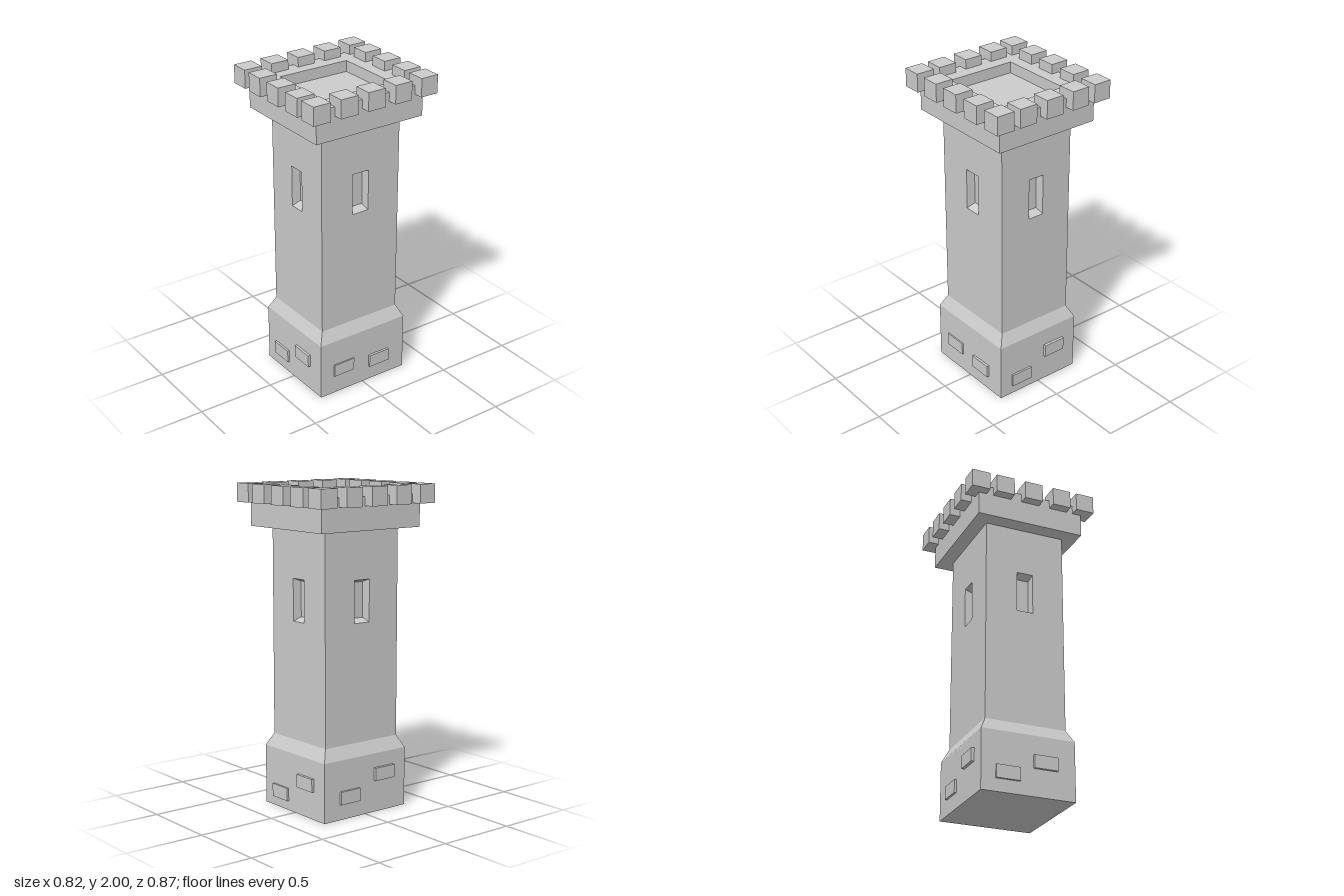
import * as THREE from 'three';

const material = new THREE.MeshStandardMaterial({ color: 0xcccccc, flatShading: true });

function addMesh(parent, name, geometry, x = 0, y = 0, z = 0) {
  const mesh = new THREE.Mesh(geometry, material);
  mesh.name = name;
  mesh.position.set(x, y, z);
  parent.add(mesh);
  return mesh;
}

// Skin a series of four-cornered rings and close the last one.
function loft(rings) {
  const points = [];
  const quad = (a, b, c, d) => points.push(...a, ...b, ...c, ...a, ...c, ...d);
  for (let r = 0; r < rings.length - 1; r++) {
    for (let i = 0; i < 4; i++) {
      const j = (i + 1) % 4;
      quad(rings[r][i], rings[r][j], rings[r + 1][j], rings[r + 1][i]);
    }
  }
  quad(...rings[rings.length - 1]);
  const geometry = new THREE.BufferGeometry();
  geometry.setAttribute('position', new THREE.Float32BufferAttribute(points, 3));
  geometry.computeVertexNormals();
  return geometry;
}

const floorRing = (x, z, y) => [[-x, y, z], [x, y, z], [x, y, -z], [-x, y, -z]];
const wallRing = (x, y0, y1, z) => [[-x, y0, z], [x, y0, z], [x, y1, z], [-x, y1, z]];

function rectangle(Type, x, y0, y1) {
  const path = new Type();
  path.moveTo(-x, y0).lineTo(x, y0).lineTo(x, y1).lineTo(-x, y1).closePath();
  return path;
}

export function createModel() {
  const tower = new THREE.Group();
  tower.name = 'tower';
  const body = new THREE.Group();
  body.name = 'body';
  body.position.x = 0.004;
  tower.add(body);

  // Plinth with a sloped shoulder
  addMesh(body, 'base', loft([
    floorRing(0, 0, 0), floorRing(0.295, 0.318, 0),
    floorRing(0.295, 0.318, 0.37), floorRing(0.256, 0.28, 0.447),
  ]));

  // Four sides: half width, wall distance, plinth distance,
  // window half width, bricks as [centre, bottom, projection]
  const sides = [
    ['front', 0.256, 0.28, 0.318, 0.052, [[-0.13, 0.08, 0.014], [0.105, 0.17, 0.016]]],
    ['left', 0.28, 0.256, 0.295, 0.057, [[-0.146, 0.122, 0.009], [0.12, 0.097, 0.015]]],
    ['back', 0.256, 0.28, 0.318, 0.052, [[-0.135, 0.06, 0.013], [0.12, 0.175, 0.018]]],
    ['right', 0.28, 0.256, 0.295, 0.057, [[-0.125, 0.097, 0.014], [0.143, 0.2, 0.019]]],
  ];
  sides.forEach(([name, half, wallZ, baseZ, windowHalf, bricks], i) => {
    const side = new THREE.Group();
    side.name = name + 'Side';
    side.rotation.y = i * Math.PI / 2;
    body.add(side);

    // Shaft wall pierced by a window
    const wall = rectangle(THREE.Shape, half, 0.447, 1.74);
    wall.holes.push(rectangle(THREE.Path, windowHalf, 1.18, 1.44));
    addMesh(side, 'shaftWall', new THREE.ShapeGeometry(wall), 0, 0, wallZ);

    // Tapered window niche
    addMesh(side, 'windowNiche', loft([
      wallRing(windowHalf, 1.18, 1.44, 0),
      wallRing(windowHalf - 0.006, 1.202, 1.42, -0.055),
    ]), 0, 0, wallZ);

    // Raised bricks on the plinth
    for (const [x, y, out] of bricks) {
      addMesh(side, 'brick', new THREE.BoxGeometry(0.149, 0.081, 0.04), x, y + 0.04, baseZ + out - 0.02);
    }
  });

  // Parapet slab with a sunken roof floor
  const rim = rectangle(THREE.Shape, 0.346, -0.376, 0.376);
  rim.holes.push(rectangle(THREE.Path, 0.222, -0.24, 0.24));
  const rimGeometry = new THREE.ExtrudeGeometry(rim, { depth: 0.2, bevelEnabled: false });
  rimGeometry.rotateX(-Math.PI / 2);
  addMesh(body, 'parapet', rimGeometry, 0, 1.74, 0);
  addMesh(body, 'roofFloor', new THREE.BoxGeometry(0.444, 0.13, 0.48), 0, 1.805, 0);

  // Merlons around the edge
  const xs = [-0.351, -0.189, 0.001, 0.191, 0.351];
  const zs = [-0.376, -0.189, 0.002, 0.191, 0.376];
  const merlon = new THREE.BoxGeometry(0.118, 0.115, 0.118);
  xs.forEach((x, i) => zs.forEach((z, j) => {
    if (i % 4 === 0 || j % 4 === 0) addMesh(tower, 'merlon', merlon, x, 1.9425, z);
  }));

  return tower;
}
